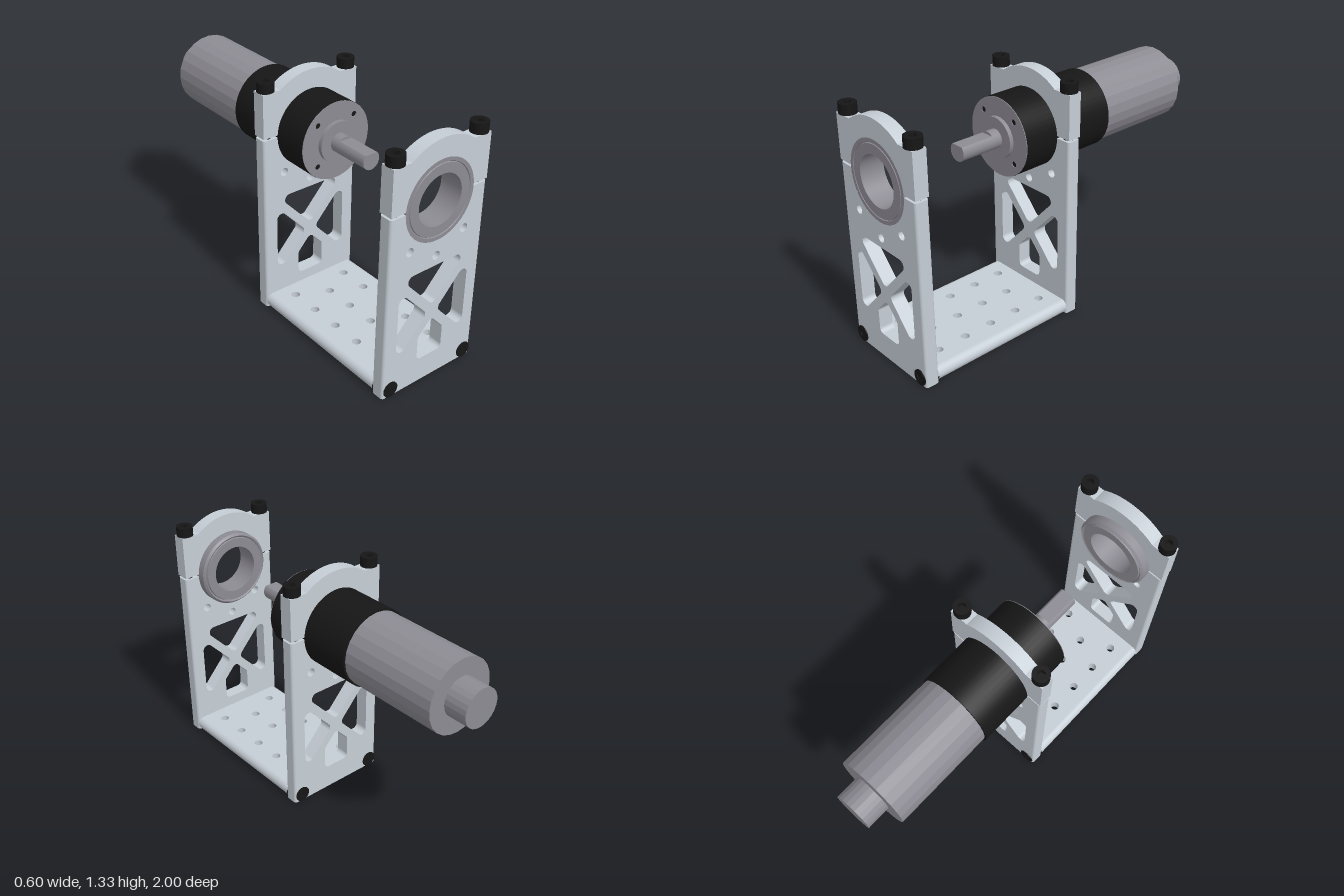
import * as THREE from 'three';

const plateMat = new THREE.MeshStandardMaterial({ color: 0xc6ced6 });
const blackMat = new THREE.MeshStandardMaterial({ color: 0x161616 });
const motorMat = new THREE.MeshStandardMaterial({ color: 0x8e8c94 });
const motorFlatMat = new THREE.MeshStandardMaterial({ color: 0x8e8c94, flatShading: true });

const AXIS_Y = 1.01, BORE = 0.21, HALF_W = 0.295, THICK = 0.075, FOOT = 0.004;

function add(parent, name, geometry, material, x = 0, y = 0, z = 0) {
  const mesh = new THREE.Mesh(geometry, material);
  mesh.name = name;
  mesh.position.set(x, y, z);
  parent.add(mesh);
  return mesh;
}

function extrude(shape, depth) {
  return new THREE.ExtrudeGeometry(shape, { depth, bevelEnabled: false, curveSegments: 24 });
}

function circle(x, y, r) {
  return new THREE.Path().absarc(x, y, r, 0, Math.PI * 2, false);
}

// Counter-clockwise polygon with every corner rounded by radius r
function roundedPolygon(corners, r) {
  const path = new THREE.Path();
  const pts = corners.map(([x, y]) => new THREE.Vector2(x, y));
  pts.forEach((p, i) => {
    const u = pts[(i + pts.length - 1) % pts.length].clone().sub(p).normalize();
    const v = pts[(i + 1) % pts.length].clone().sub(p).normalize();
    const half = Math.acos(u.dot(v)) / 2;
    const c = p.clone().addScaledVector(u.clone().add(v).normalize(), r / Math.sin(half));
    const a = p.clone().addScaledVector(u, r / Math.tan(half)).sub(c);
    const b = p.clone().addScaledVector(v, r / Math.tan(half)).sub(c);
    path.absarc(c.x, c.y, r, Math.atan2(a.y, a.x), Math.atan2(b.y, b.x), false);
  });
  path.closePath();
  return path;
}

// Cylinder along z between two depths
function rod(parent, name, r, z0, z1, material, segments = 48) {
  const g = new THREE.CylinderGeometry(r, r, z1 - z0, segments).rotateX(Math.PI / 2);
  return add(parent, name, g, material, 0, AXIS_Y, (z0 + z1) / 2);
}

// Socket head screw: head runs from z = 0 to z = h with a hex recess
function socketScrew(name, r, h, shankR, shankLength) {
  const screw = new THREE.Group();
  screw.name = name;
  const ring = new THREE.Shape().absarc(0, 0, r, 0, Math.PI * 2, false);
  const hex = new THREE.Path();
  hex.setFromPoints(Array.from({ length: 6 }, (_, i) =>
    new THREE.Vector2(Math.cos(i * Math.PI / 3), Math.sin(i * Math.PI / 3)).multiplyScalar(r * 0.48)));
  hex.closePath();
  ring.holes.push(hex);
  add(screw, 'screwHead', extrude(ring, h), blackMat);
  add(screw, 'socketFloor', new THREE.CylinderGeometry(r * 0.6, r * 0.6, h * 0.4, 16).rotateX(Math.PI / 2),
    blackMat, 0, 0, h * 0.2);
  add(screw, 'screwShank', new THREE.CylinderGeometry(shankR, shankR, shankLength, 20).rotateX(Math.PI / 2),
    blackMat, 0, 0, -shankLength / 2);
  return screw;
}

// Upright plate with cradle, split bearing cap and screws; outward is the side of the face screws
function createUpright(name, z0, outward) {
  const upright = new THREE.Group();
  upright.name = name;
  const top = 1.01, core = HALF_W - 0.015;

  // Lower plate with half bore and lightening windows
  const plate = new THREE.Shape();
  plate.moveTo(-core, FOOT);
  plate.lineTo(core, FOOT);
  plate.lineTo(core, top);
  plate.lineTo(BORE, top);
  plate.absarc(0, AXIS_Y, BORE, 0, -Math.PI, true);
  plate.lineTo(-core, top);
  plate.closePath();
  plate.holes.push(
    circle(-0.17, 0.8, 0.023), circle(0.17, 0.8, 0.023), circle(0, 0.715, 0.023),
    roundedPolygon([[0, 0.436], [0.206, 0.66], [-0.206, 0.66]], 0.03),
    roundedPolygon([[-0.22, 0.195], [-0.032, 0.4], [-0.22, 0.605]], 0.03),
    roundedPolygon([[0.22, 0.605], [0.032, 0.4], [0.22, 0.195]], 0.03),
    roundedPolygon([[-0.08, 0.14], [0.08, 0.14], [0.08, 0.275], [0, 0.362], [-0.08, 0.275]], 0.025));
  add(upright, 'uprightPlate', extrude(plate, THICK), plateMat, 0, 0, z0);

  // Rounded vertical edges
  const edge = new THREE.Shape();
  edge.moveTo(0, 0);
  edge.absarc(0, 0.015, 0.015, -Math.PI / 2, 0, false);
  edge.absarc(0, THICK - 0.015, 0.015, 0, Math.PI / 2, false);
  edge.closePath();
  for (const side of [-1, 1]) {
    const g = extrude(edge, top - FOOT).translate(0, -THICK / 2, 0).rotateX(-Math.PI / 2);
    if (side < 0) g.rotateY(Math.PI);
    add(upright, 'roundedEdge', g, plateMat, side * core, FOOT, z0 + THICK / 2);
  }

  // Clamp cap with arched top
  const cap = new THREE.Shape();
  const lip = Math.asin(0.012 / BORE), shoulder = Math.asin(0.252 / 0.315);
  cap.moveTo(HALF_W, 1.022);
  cap.lineTo(HALF_W, 1.262);
  cap.absarc(0, AXIS_Y, 0.315, shoulder, Math.PI - shoulder, false);
  cap.lineTo(-HALF_W, 1.262);
  cap.lineTo(-HALF_W, 1.022);
  cap.absarc(0, AXIS_Y, BORE, Math.PI - lip, lip, true);
  cap.closePath();
  add(upright, 'clampCap', extrude(cap, THICK), plateMat, 0, 0, z0);

  const mid = z0 + THICK / 2;
  const face = outward > 0 ? z0 + THICK : z0;
  for (const side of [-1, 1]) {
    const capScrew = socketScrew('capScrew', 0.045, 0.054, 0.025, 0.3);
    capScrew.position.set(side * 0.253, 1.262, mid);
    capScrew.rotation.x = -Math.PI / 2;
    const faceScrew = socketScrew('faceScrew', 0.043, 0.005, 0.02, 0.06);
    faceScrew.position.set(side * 0.245, 0.045, face);
    if (outward < 0) faceScrew.rotation.y = Math.PI;
    const footScrew = socketScrew('footScrew', 0.034, FOOT, 0.02, 0.06);
    footScrew.position.set(side * 0.12, FOOT, mid);
    footScrew.rotation.x = Math.PI / 2;
    upright.add(capScrew, faceScrew, footScrew);
  }
  return upright;
}

// Perforated base plate with rounded long sides
function createBase(z0, z1) {
  const base = new THREE.Group();
  base.name = 'base';
  const w = HALF_W - 0.038, h = 0.076;
  const shape = new THREE.Shape();
  shape.setFromPoints([[-w, -z1], [w, -z1], [w, -z0], [-w, -z0]].map(p => new THREE.Vector2(...p)));
  shape.closePath();
  for (let i = 0; i < 5; i++) {
    const z = 0.152 + i * 0.168;
    for (const x of [-0.168, 0.168]) shape.holes.push(circle(x, -z, 0.023));
    if (i < 4) shape.holes.push(circle(0, -z - 0.084, 0.023));
  }
  add(base, 'basePlate', extrude(shape, h).rotateX(-Math.PI / 2), plateMat, 0, FOOT, 0);
  for (const side of [-1, 1]) {
    const g = new THREE.CylinderGeometry(h / 2, h / 2, z1 - z0, 24, 1, true, side > 0 ? 0 : Math.PI, Math.PI);
    add(base, 'baseSide', g.rotateX(Math.PI / 2), plateMat, side * w, FOOT + h / 2, (z0 + z1) / 2);
  }
  return base;
}

// Ring bearing with a chamfered inner flange
function createBearing() {
  const r = 0.133, R = BORE;
  const profile = [[r, 0.865], [0.185, 0.865], [0.188, 0.872], [0.198, 0.865], [R, 0.877],
    [R, 0.995], [0.19, 0.995], [0.187, 0.99], [0.184, 0.995], [r, 0.995], [r, 0.865]];
  const group = new THREE.Group();
  group.name = 'bearing';
  // One band per profile step keeps the rims sharp
  for (let i = 0; i < profile.length - 1; i++) {
    const pts = [profile[i], profile[i + 1]].map(p => new THREE.Vector2(...p));
    add(group, 'bearingRing', new THREE.LatheGeometry(pts, 48).rotateX(Math.PI / 2), motorMat, 0, AXIS_Y, 0);
  }
  return group;
}

function createMotor() {
  const motor = new THREE.Group();
  motor.name = 'gearMotor';
  rod(motor, 'rearCap', 0.105, -1, -0.87, motorFlatMat, 24);
  rod(motor, 'motorCan', 0.2, -0.87, -0.3, motorFlatMat, 24);
  rod(motor, 'gearbox', BORE, -0.305, 0.262, blackMat);
  rod(motor, 'pilotBoss', 0.11, 0.262, 0.288, motorMat);
  rod(motor, 'shaftBase', 0.05, 0.28, 0.34, motorMat, 32);

  // Gearbox face with four mounting holes
  const face = new THREE.Shape().absarc(0, 0, BORE - 0.001, 0, Math.PI * 2, false);
  for (let i = 0; i < 4; i++) {
    const a = Math.PI / 4 + i * Math.PI / 2;
    face.holes.push(circle(0.16 * Math.cos(a), 0.16 * Math.sin(a), 0.015));
  }
  add(motor, 'gearboxFace', extrude(face, 0.004), motorMat, 0, AXIS_Y, 0.262);

  // D-shaped shaft end, flat on top
  const flat = Math.asin(0.035 / 0.05);
  const dShape = new THREE.Shape().absarc(0, 0, 0.05, Math.PI - flat, Math.PI * 2 + flat, false);
  dShape.closePath();
  add(motor, 'shaftEnd', extrude(dShape, 0.19), motorMat, 0, AXIS_Y, 0.34);
  return motor;
}

export function createModel() {
  const model = new THREE.Group();
  model.name = 'motorMount';
  model.add(
    createUpright('frontUpright', 0.92, 1),
    createUpright('rearUpright', -0.01, -1),
    createBase(0.065, 0.92),
    createBearing(),
    createMotor());
  return model;
}
